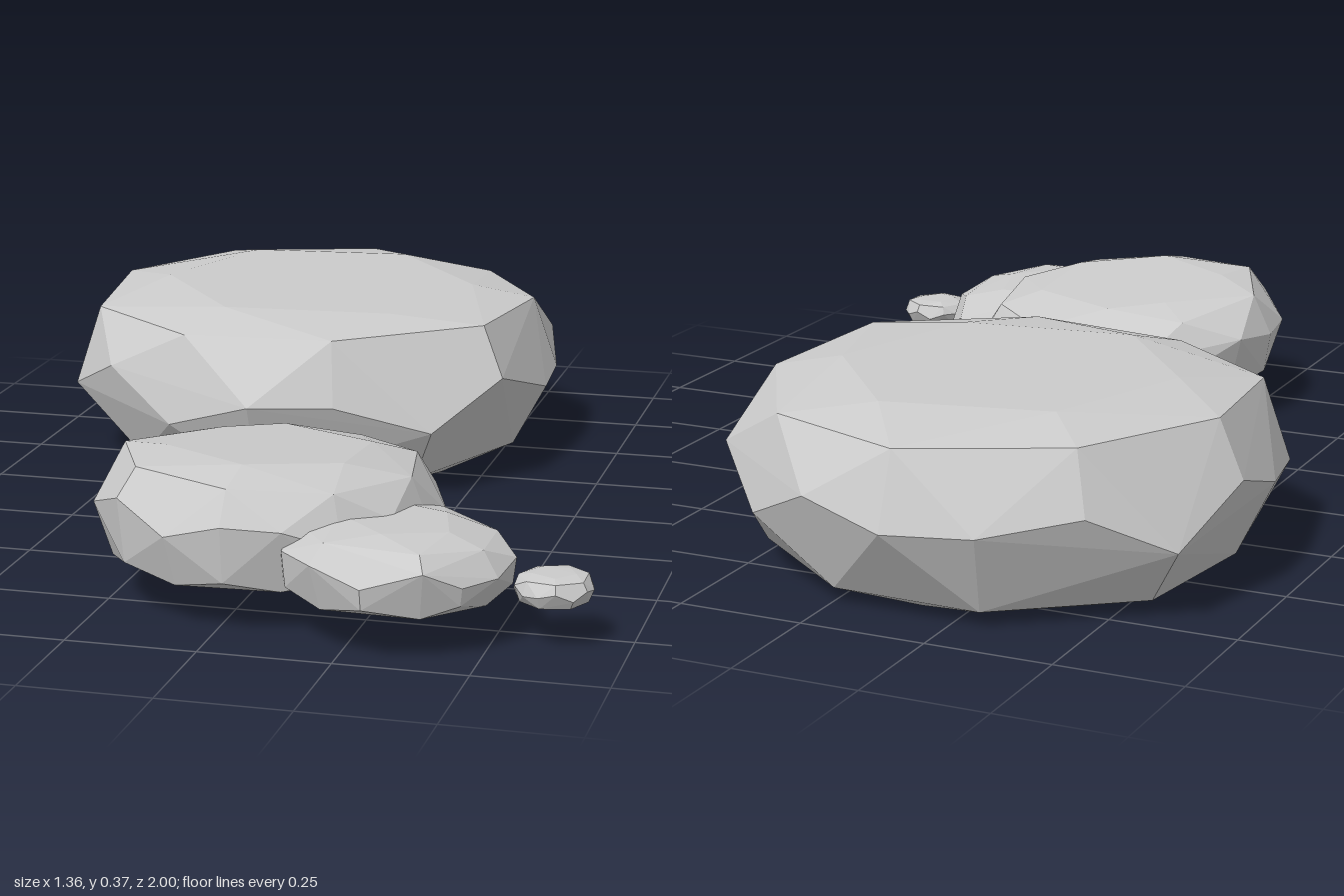
import * as THREE from 'three';
import { ConvexGeometry } from 'three/addons/geometries/ConvexGeometry.js';

const material = new THREE.MeshStandardMaterial({ color: 0xcccccc, flatShading: true });

// A flat faceted stone: the hull of scaled copies of its plan outline.
// rings: [scale, height, step, first, wobble]; tilt: slope of the upper rings along x and z.
function stone(name, [cx, cz], outline, rings, tilt = [0, 0]) {
  const points = [];
  for (const [scale, height, step, first, wobble] of rings) {
    for (let i = first; i < outline.length; i += step) {
      const x = (outline[i][0] - cx) * scale;
      const z = (outline[i][1] - cz) * scale;
      const lean = wobble < 0 ? 0 : x * tilt[0] + z * tilt[1];
      const y = height + Math.max(wobble, 0) * Math.sin(i * 2.4 + first) + lean;
      points.push(new THREE.Vector3(cx + x, y, cz + z));
    }
  }
  const mesh = new THREE.Mesh(new ConvexGeometry(points), material);
  mesh.name = name;
  return mesh;
}

export function createModel() {
  const group = new THREE.Group();
  group.name = 'steppingStones';

  // Large stone at the back
  group.add(stone('largeStone', [-0.16, -0.45], [
    [-0.16, -1], [0.02, -0.95], [0.18, -0.85], [0.31, -0.72], [0.355, -0.54], [0.355, -0.42],
    [0.31, -0.17], [0.19, -0.03], [0, 0.05], [-0.17, 0.1], [-0.36, 0.03], [-0.52, -0.07],
    [-0.64, -0.19], [-0.68, -0.38], [-0.68, -0.55], [-0.63, -0.74], [-0.5, -0.86], [-0.33, -0.96],
  ], [
    [0.68, 0, 2, 0, -1],
    [0.86, 0.03, 2, 1, -1],
    [1, 0.19, 1, 0, 0.05],
    [0.9, 0.335, 2, 0, 0.008],
    [0.64, 0.364, 3, 1, 0.004],
  ]));

  // Medium stone, its top sloping down to the back
  group.add(stone('mediumStone', [0.03, 0.585], [
    [-0.03, 0.25], [0.14, 0.26], [0.24, 0.31], [0.3, 0.4], [0.355, 0.54], [0.345, 0.64],
    [0.3, 0.76], [0.23, 0.85], [0.13, 0.9], [0.02, 0.92], [-0.09, 0.91], [-0.2, 0.84],
    [-0.28, 0.74], [-0.3, 0.61], [-0.28, 0.48], [-0.2, 0.38], [-0.12, 0.3],
  ], [
    [0.9, 0.08, 2, 0, -1],
    [0.96, 0.1, 2, 1, -1],
    [1, 0.175, 1, 0, 0.025],
    [0.88, 0.252, 2, 1, 0.005],
    [0.6, 0.276, 3, 0, 0.003],
  ], [-0.04, 0.07]));

  // Small stone tucked against the medium one
  group.add(stone('smallStone', [0.32, 0.77], [
    [0.36, 0.54], [0.45, 0.59], [0.51, 0.67], [0.535, 0.77], [0.52, 0.86], [0.47, 0.93],
    [0.41, 0.98], [0.3, 1], [0.2, 0.97], [0.13, 0.9], [0.1, 0.81], [0.11, 0.7],
    [0.17, 0.6], [0.26, 0.55],
  ], [
    [0.88, 0.08, 2, 0, -1],
    [0.97, 0.1, 2, 1, -1],
    [1, 0.145, 1, 0, 0.02],
    [0.85, 0.188, 2, 0, 0.004],
    [0.5, 0.206, 3, 1, 0.002],
  ], [-0.05, 0.05]));

  // Pebble
  const circle = Array.from({ length: 14 }, (_, i) => {
    const a = (i / 14) * Math.PI * 2;
    return [0.606 + 0.074 * Math.cos(a), 0.782 + 0.074 * Math.sin(a)];
  });
  group.add(stone('pebble', [0.606, 0.782], circle, [
    [0.86, 0.08, 2, 0, -1],
    [1, 0.104, 1, 0, 0.008],
    [0.88, 0.125, 2, 1, 0.002],
    [0.55, 0.131, 3, 0, 0.001],
  ]));

  return group;
}
